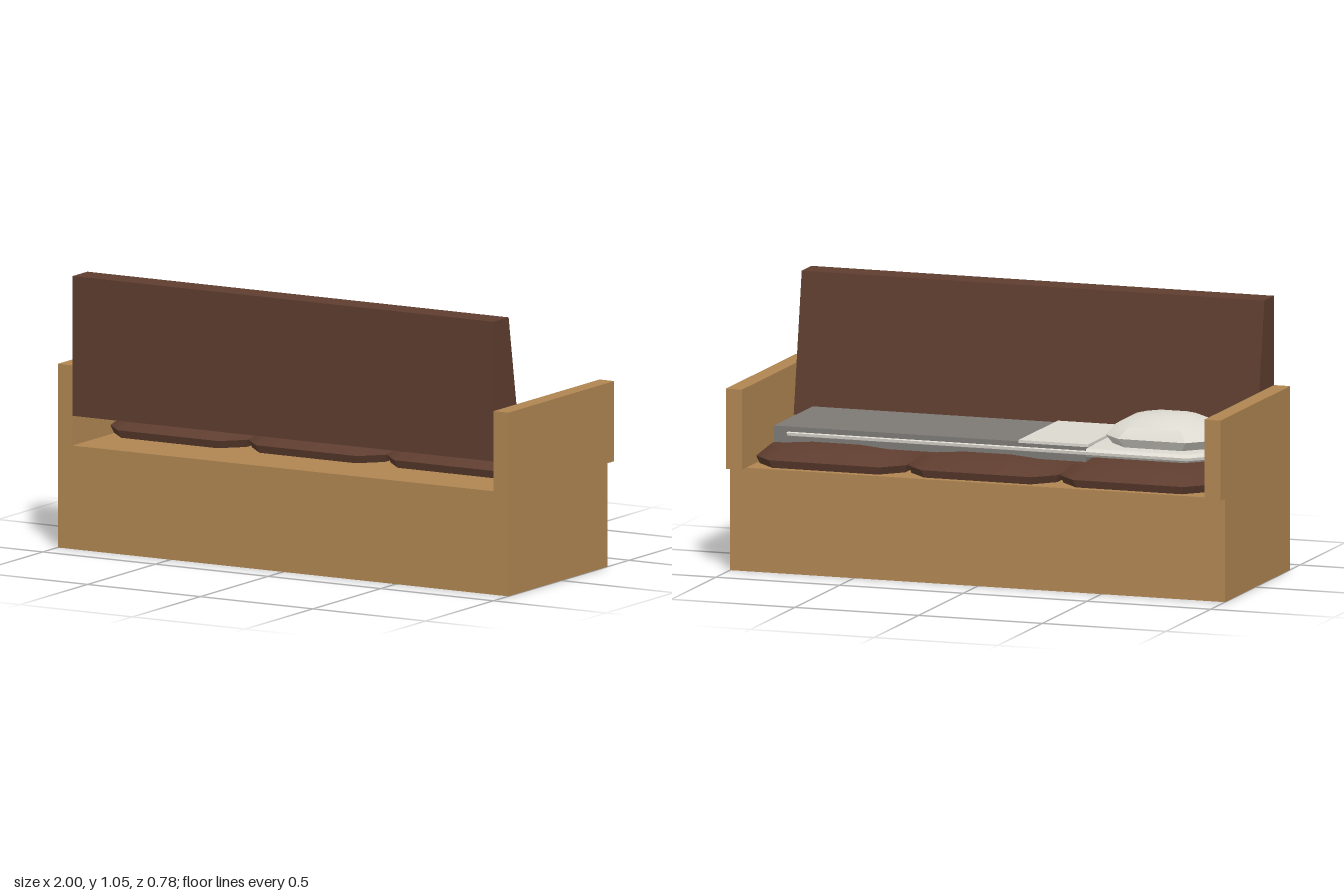
import * as THREE from 'three';
import { toCreasedNormals } from 'three/addons/utils/BufferGeometryUtils.js';

const material = (name, color, extra = {}) => {
  const m = new THREE.MeshStandardMaterial({ color, ...extra });
  m.name = name;
  return m;
};

// Box given by its min and max corners
function box([x0, y0, z0], [x1, y1, z1]) {
  return new THREE.BoxGeometry(x1 - x0, y1 - y0, z1 - z0)
    .translate((x0 + x1) / 2, (y0 + y1) / 2, (z0 + z1) / 2);
}

// Stuffed cushion: octagon with cut corners, lofted through [height, inset] rings
function cushion(x0, x1, z0, z1, cut, rings, topY) {
  const cx = (x0 + x1) / 2, cz = (z0 + z1) / 2;
  const pos = [], index = [];
  for (const [y, inset] of rings) {
    const w = (x1 - x0) / 2 - inset, d = (z1 - z0) / 2 - inset;
    const c = Math.min(cut, w * 0.6, d * 0.6);
    const corners = [[w - c, d], [w, d - c], [w, c - d], [w - c, -d],
      [c - w, -d], [-w, c - d], [-w, d - c], [c - w, d]];
    for (const [x, z] of corners) pos.push(cx + x, y, cz + z);
  }
  const last = (rings.length - 1) * 8, bottom = rings.length * 8, top = bottom + 1;
  pos.push(cx, rings[0][0], cz, cx, topY, cz);
  for (let i = 0; i < 8; i++) {
    const j = (i + 1) % 8;
    for (let r = 0; r < last; r += 8) {
      index.push(r + i, r + j, r + 8 + j, r + i, r + 8 + j, r + 8 + i);
    }
    index.push(bottom, j, i, top, last + i, last + j);
  }
  const g = new THREE.BufferGeometry();
  g.setAttribute('position', new THREE.Float32BufferAttribute(pos, 3));
  g.setIndex(index);
  return toCreasedNormals(g, 0.6);
}

export function createModel() {
  const wood = material('wood', 0xb08652, { side: THREE.DoubleSide });
  const brown = material('brown upholstery', 0x5e3d2f);
  const linen = material('white linen', 0xdcd9d0);
  const grey = material('grey blanket', 0x7d7a76);

  const model = new THREE.Group();
  model.name = 'sofaBed';
  const add = (name, geometry, mat) => {
    const mesh = new THREE.Mesh(geometry, mat);
    mesh.name = name;
    model.add(mesh);
  };

  // Hollow base, open underneath (the downward face is dropped)
  const base = box([-1, 0, -0.34], [1, 0.4, 0.39]);
  const faces = Array.from(base.index.array);
  faces.splice(18, 6);
  base.setIndex(faces);
  base.clearGroups();
  add('base', base, wood);

  // Armrests, overhanging the base on the seat side
  add('leftArmrest', box([0.935, 0.4, -0.39], [1, 0.71, 0.39]), wood);
  add('rightArmrest', box([-1, 0.4, -0.39], [-0.935, 0.71, 0.39]), wood);

  // Backrest: tapered profile in (z, y), stretched along x
  const profile = new THREE.Shape();
  profile.moveTo(-0.39, 0.515);
  profile.lineTo(-0.19, 0.515);
  profile.lineTo(-0.28, 1.055);
  profile.lineTo(-0.39, 1.055);
  const back = new THREE.ExtrudeGeometry(profile, { depth: 1.87, bevelEnabled: false });
  back.translate(0, 0, -0.935).rotateY(Math.PI / 2);
  // After the turn the profile runs along z with its flat side at +z
  add('backrest', back, brown);

  // Three seat cushions
  const seatRings = [[0.41, 0.01], [0.44, 0], [0.482, 0.045], [0.497, 0.13]];
  for (let i = -1; i <= 1; i++) {
    const x = i * 0.614 - 0.005;
    add('seatCushion', cushion(x - 0.304, x + 0.304, -0.37, 0.21, 0.08, seatRings, 0.506), brown);
  }

  // Thin mattress, blanket and turned-down sheet
  const mattressRings = [[0.505, 0.015], [0.515, 0.002], [0.526, 0], [0.538, 0.012]];
  add('mattress', cushion(-0.87, 0.867, -0.241, 0.199, 0.06, mattressRings, 0.541), linen);
  add('blanket', box([-0.4, 0.487, -0.237], [0.86, 0.55, 0.195]), grey);
  add('foldedSheet', box([-0.41, 0.545, -0.24], [-0.13, 0.556, 0.197]), linen);

  // Plump pillow
  const pillowRings = [[0.54, 0.02], [0.575, 0], [0.615, 0.03], [0.637, 0.07], [0.65, 0.115]];
  add('pillow', cushion(-0.86, -0.437, -0.19, 0.18, 0.075, pillowRings, 0.656), linen);

  return model;
}
